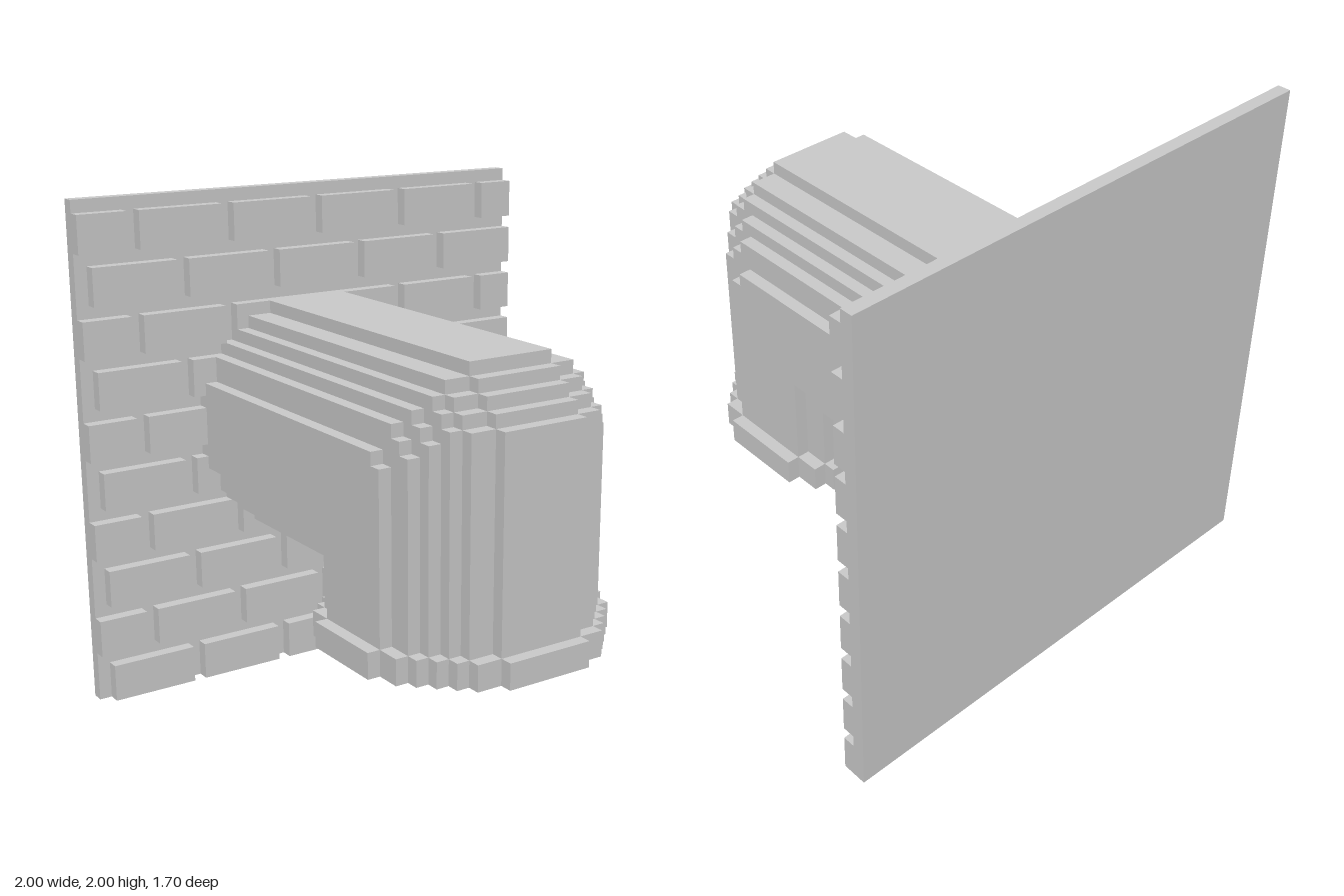
import * as THREE from 'three';

const U = 0.05;                    // grid step
const CX = -0.025, CY = 1.075, CZ = 0.325; // pipe axis positions
const WALL_Z = -0.8, RIM_BOTTOM = 0.45, RIM_TOP = 0.55;

// Stepped discs: [half width, half height] pairs of one quadrant
const OUTER = [[0.175, 0.475], [0.275, 0.425], [0.325, 0.375], [0.375, 0.325], [0.425, 0.275], [0.475, 0.175]];
const INNER = [[0.125, 0.375], [0.225, 0.325], [0.275, 0.275], [0.325, 0.225], [0.375, 0.125]];
const RIM = [[0.175, 0.525], [0.275, 0.475], [0.325, 0.425], [0.375, 0.375], [0.425, 0.325], [0.475, 0.275], [0.525, 0.175]];

const material = new THREE.MeshStandardMaterial({ color: 0xcccccc });

function addMesh(parent, name, geometry) {
  const mesh = new THREE.Mesh(geometry, material);
  mesh.name = name;
  parent.add(mesh);
  return mesh;
}

function addBox(parent, name, x0, x1, y0, y1, z0, z1) {
  const mesh = addMesh(parent, name, new THREE.BoxGeometry(x1 - x0, y1 - y0, z1 - z0));
  mesh.position.set((x0 + x1) / 2, (y0 + y1) / 2, (z0 + z1) / 2);
}

const toShape = (pts) => new THREE.Shape(pts.map(([x, y]) => new THREE.Vector2(x, y)));

// Half height of a stepped disc at distance x from its centre (0 outside)
function chord(disc, x) {
  const row = disc.find(([w]) => x < w);
  return row ? row[1] : 0;
}

// Closed outline of a stepped disc
function discOutline(disc) {
  const quarter = [];
  disc.forEach(([w, h], i) => {
    quarter.push([w, h]);
    if (i < disc.length - 1) quarter.push([w, disc[i + 1][1]]);
  });
  const flip = (sx, sy) => quarter.map(([x, y]) => [x * sx, y * sy]);
  return [...flip(1, 1), ...flip(1, -1).reverse(), ...flip(-1, -1), ...flip(-1, 1).reverse()];
}

// Outside of the bend in (z, y): up, a staircase corner, then back to the wall
function outerPath(a) {
  const steps = a > 0.45 ? 4 : a > 0.4 ? 3 : a > 0.2 ? 2 : 1;
  const pts = [[CZ + a, RIM_TOP]];
  for (let i = 0; i <= steps; i++) {
    const z = CZ + a - i * U, y = CY + a - (steps - i) * U;
    pts.push([z, y]);
    if (i < steps) pts.push([z - U, y]);
  }
  pts.push([WALL_Z, CY + a]);
  return pts;
}

// Inside of the bend: a plain square corner
const innerPath = (a) => [[CZ - a, RIM_TOP], [CZ - a, CY - a], [WALL_Z, CY - a]];

function createPipe() {
  const pipe = new THREE.Group();
  pipe.name = 'bentPipe';
  const edges = [0, 0.125, 0.175, 0.225, 0.275, 0.325, 0.375, 0.425, 0.475];
  const addSlice = (outline, x0, x1) => {
    const geo = new THREE.ExtrudeGeometry(toShape(outline), { depth: x1 - x0, bevelEnabled: false });
    geo.rotateY(-Math.PI / 2).translate(CX + x1, 0, 0);
    addMesh(pipe, 'pipeSlice', geo);
  };
  for (let i = 0; i < edges.length - 1; i++) {
    const mid = (edges[i] + edges[i + 1]) / 2;
    const a = chord(OUTER, mid), b = chord(INNER, mid);
    // Solid at the sides, an outer and an inner wall where the bore runs
    const outlines = b
      ? [[...outerPath(a), ...outerPath(b).reverse()], [...innerPath(b), ...innerPath(a).reverse()]]
      : [[...outerPath(a), ...innerPath(a).reverse()]];
    const spans = i === 0
      ? [[-edges[1], edges[1]]]
      : [[edges[i], edges[i + 1]], [-edges[i + 1], -edges[i]]];
    for (const outline of outlines) for (const [x0, x1] of spans) addSlice(outline, x0, x1);
  }
  return pipe;
}

// Collar around the downward opening
function createRim() {
  const shape = toShape(discOutline(RIM));
  shape.holes.push(toShape(discOutline(INNER)));
  const geo = new THREE.ExtrudeGeometry(shape, { depth: RIM_TOP - RIM_BOTTOM, bevelEnabled: false });
  geo.rotateX(Math.PI / 2).translate(CX, RIM_TOP, CZ);
  const rim = new THREE.Mesh(geo, material);
  rim.name = 'pipeRim';
  return rim;
}

// Backing slab with ten staggered courses of bricks
function createWall() {
  const wall = new THREE.Group();
  wall.name = 'brickWall';
  addBox(wall, 'wallSlab', -1, 1, 0, 2, -0.85, WALL_Z);
  for (let row = 0; row < 10; row++) {
    const start = row % 2 ? -1.15 : -0.95;
    for (let x = start; x < 0.99; x += 0.4) {
      addBox(wall, 'brick', Math.max(x, -1), Math.min(x + 0.35, 1), row * 0.2, row * 0.2 + 0.15, WALL_Z, -0.75);
    }
  }
  return wall;
}

export function createModel() {
  const model = new THREE.Group();
  model.name = 'wallPipe';
  model.add(createWall(), createPipe(), createRim());
  return model;
}
